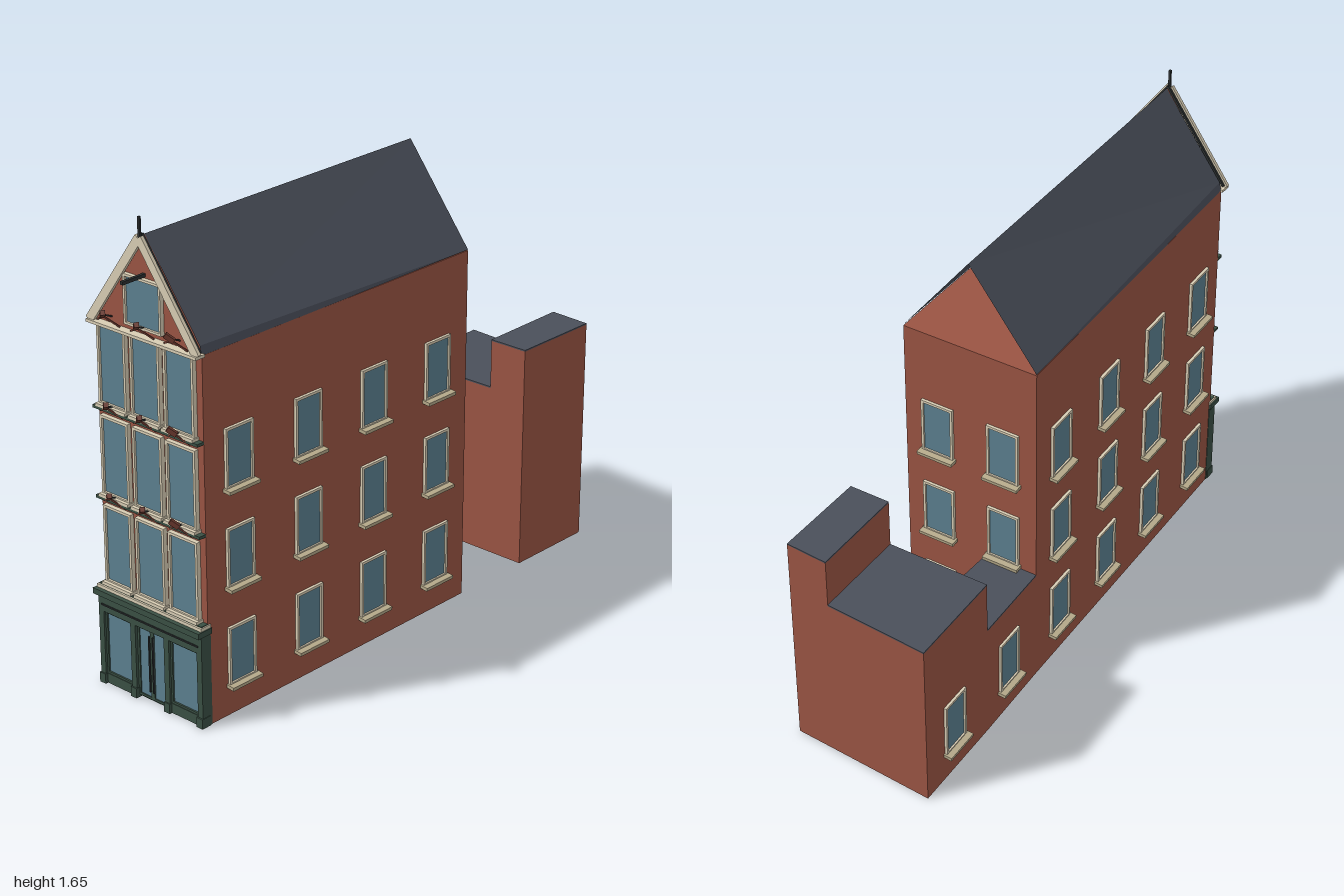
import * as THREE from 'three';

const mat = (color, extra = {}) => new THREE.MeshStandardMaterial({ color, flatShading: true, ...extra });
const M = {
  brick: mat(0x9a5443), slate: mat(0x4a4f5a, { side: THREE.DoubleSide }), glass: mat(0x5b7f8f),
  cream: mat(0xd8cdb4), sill: mat(0xb5a98a), green: mat(0x3a4f44), dark: mat(0x2b2f30), rust: mat(0x6e3b30),
};

function add(parent, name, geo, material) {
  const m = new THREE.Mesh(geo, material);
  m.name = name;
  parent.add(m);
  return m;
}

// Box given by its limits on each axis
function box(parent, name, material, x0, x1, y0, y1, z0, z1) {
  const m = add(parent, name, new THREE.BoxGeometry(x1 - x0, y1 - y0, z1 - z0), material);
  m.position.set((x0 + x1) / 2, (y0 + y1) / 2, (z0 + z1) / 2);
  return m;
}

// Upright prism over a plan outline of [x, z] points
function prism(parent, name, material, plan, y0, y1) {
  const shape = new THREE.Shape(plan.map(([x, z]) => new THREE.Vector2(x, -z)));
  const geo = new THREE.ExtrudeGeometry(shape, { depth: y1 - y0, bevelEnabled: false });
  geo.rotateX(-Math.PI / 2).translate(0, y0, 0);
  return add(parent, name, geo, material);
}

// Square bar between two points
function bar(parent, name, material, a, b, w, d = w) {
  const p = new THREE.Vector3(...a), q = new THREE.Vector3(...b);
  const m = add(parent, name, new THREE.BoxGeometry(w, d, p.distanceTo(q)), material);
  m.position.copy(p).add(q).multiplyScalar(0.5);
  m.lookAt(q);
  return m;
}

// Glass pane with a four-piece frame, facing local +z
function windowUnit(parent, name, x0, x1, y0, y1, z, f = 0.009, depth = 0.01, frame = M.cream) {
  const g = new THREE.Group();
  g.name = name;
  parent.add(g);
  box(g, 'pane', M.glass, x0 + f, x1 - f, y0 + f, y1 - f, z - 0.004, z + 0.004);
  for (const x of [x0, x1 - f]) box(g, 'frameUpright', frame, x, x + f, y0, y1, z - 0.004, z + depth);
  for (const y of [y0, y1 - f]) box(g, 'frameRail', frame, x0 + f, x1 - f, y, y + f, z - 0.004, z + depth);
  return g;
}

// Group whose x runs along a wall from a to b and whose z points outwards
function wall(parent, name, a, b) {
  const g = new THREE.Group();
  g.name = name;
  g.position.set(a[0], 0, a[1]);
  g.rotation.y = Math.atan2(-(b[1] - a[1]), b[0] - a[0]);
  parent.add(g);
  return g;
}

function sideWindow(parent, x, y, w = 0.12) {
  windowUnit(parent, 'sideWindow', x - w / 2, x + w / 2, y, y + 0.205, 0);
  const s = box(parent, 'windowSill', M.sill, x - w / 2 - 0.007, x + w / 2 + 0.007, y - 0.008, y + 0.004, -0.004, 0.03);
  s.rotation.x = 0.1;
}

export function createModel() {
  const root = new THREE.Group();
  root.name = 'townHouse';
  const floors = [0.108, 0.452, 0.79];

  // Main block and rear annex
  const FL = [-0.222, 0.9], FR = [0.235, 0.9], BR = [0.255, -0.32], BL = [-0.245, -0.32];
  prism(root, 'mainBlock', M.brick, [FL, FR, BR, BL], 0, 1.26);
  const annex = [
    ['connector', [BL, [-0.05, -0.32], [-0.035, -0.63], [-0.255, -0.63]], 0.435],
    ['rearBlock', [[-0.255, -0.63], [0.115, -0.63], [0.115, -0.977], [-0.262, -1]], 0.63],
    ['rearTower', [[0.115, -0.63], [0.262, -0.63], [0.268, -0.968], [0.115, -0.977]], 0.807],
  ];
  for (const [name, plan, h] of annex) {
    prism(root, name, M.brick, plan, 0, h);
    prism(root, name + 'Roof', M.slate, plan, h, h + 0.005);
  }

  // Pitched roof, open at the back, with a steeper strip fading out towards the back
  const ridge = [[0.004, 1.59, 0.9], [0.004, 1.59, -0.32]];
  for (const s of [-1, 1]) {
    const [f, b] = s > 0 ? [FR, BR] : [FL, BL];
    const knee = [[f[0] - s * 0.008, 1.29, f[1]], [b[0], 1.263, b[1]]];
    const pts = [...ridge, ...knee, [f[0], 1.258, f[1]]].flat();
    const geo = new THREE.BufferGeometry();
    geo.setAttribute('position', new THREE.Float32BufferAttribute(pts, 3));
    geo.setIndex(s > 0 ? [0, 2, 1, 1, 2, 3, 2, 4, 3] : [0, 1, 2, 1, 3, 2, 2, 3, 4]);
    geo.computeVertexNormals();
    add(root, 'roofSlope', geo.toNonIndexed(), M.slate).geometry.computeVertexNormals();
  }

  // Front gable wall and its sloping edge boards
  const tri = new THREE.Shape([[-0.222, 1.26], [0.235, 1.26], [0.004, 1.588]].map(p => new THREE.Vector2(...p)));
  add(root, 'frontGable', new THREE.ExtrudeGeometry(tri, { depth: 0.02, bevelEnabled: false }), M.brick).position.z = 0.885;
  for (const x of [-0.224, 0.237]) {
    bar(root, 'gableBoard', M.cream, [x, 1.262, 0.922], [0.004, 1.583, 0.922], 0.012, 0.03).up.set(0, 0, 1);
    bar(root, 'gableTrim', M.dark, [x, 1.272, 0.91], [0.004, 1.593, 0.91], 0.008);
  }
  bar(root, 'finial', M.dark, [0.004, 1.57, 0.92], [0.004, 1.65, 0.92], 0.008);
  bar(root, 'hoistBeam', M.dark, [0.004, 1.46, 0.89], [0.004, 1.46, 1], 0.011);
  windowUnit(root, 'atticWindow', -0.077, 0.083, 1.285, 1.45, 0.908, 0.008, 0.012);

  // Side and back walls with their windows
  const right = wall(root, 'rightWindows', FR, BR);
  const left = wall(root, 'leftWindows', BL, FL);
  const back = wall(root, 'backWindows', BR, BL);
  const rows = [0.755, 0.447, 0.14, -0.17];
  floors.forEach((y, i) => {
    for (const z of rows) {
      sideWindow(right, 0.9 - z, y);
      sideWindow(left, z + 0.32, y);
    }
    sideWindow(back, 0.125, y);
    if (i > 0) sideWindow(back, 0.375, y);
  });
  const annexSide = wall(root, 'annexWindows', [-0.262, -1], BL);
  for (const x of [0.165, 0.5]) sideWindow(annexSide, x, floors[0]);

  // Front windows, cornices and lamps
  const bays = [[-0.203, -0.08], [-0.06, 0.067], [0.085, 0.212]];
  [[0.365, 0.637], [0.675, 0.947], [0.985, 1.258]].forEach(([y0, y1]) => {
    for (const [a, b] of bays) {
      windowUnit(root, 'frontWindow', a, b, y0, y1, 0.906, 0.009, 0.012);
      box(root, 'frontSill', M.cream, a - 0.004, b + 0.004, y0 - 0.006, y0 + 0.004, 0.9, 0.93);
    }
    box(root, 'cornice', M.green, -0.222, 0.235, y0 - 0.016, y0 - 0.006, 0.895, 0.928);
  });
  box(root, 'topCornice', M.cream, -0.23, 0.243, 1.256, 1.266, 0.895, 0.935);
  for (const y of [0.69, 1.0, 1.305]) {
    for (const x of [-0.143, 0.004, 0.148]) {
      const lamp = new THREE.Group();
      lamp.name = 'facadeLamp';
      root.add(lamp);
      const lean = x > 0.1 ? -1 : 1;
      bar(lamp, 'lampArm', M.dark, [x, y - 0.02, 0.9], [x, y, 0.945], 0.005);
      bar(lamp, 'lampHead', M.rust, [x - 0.009 * lean, y - 0.008, 0.938], [x + 0.012 * lean, y + 0.012, 0.955], 0.016);
      for (const s of [-1, 1]) bar(lamp, 'lampStay', M.rust, [x + s * 0.05, y - 0.035, 0.92], [x, y - 0.008, 0.94], 0.005);
    }
  }

  // Shopfront
  const shop = new THREE.Group();
  shop.name = 'shopfront';
  root.add(shop);
  box(shop, 'shopBack', M.green, -0.224, 0.237, 0, 0.34, 0.89, 0.912);
  box(shop, 'signBand', M.green, -0.224, 0.237, 0.262, 0.325, 0.9, 0.932);
  box(shop, 'signBoard', M.dark, -0.21, 0.223, 0.285, 0.29, 0.93, 0.936);
  box(shop, 'shopCornice', M.green, -0.23, 0.243, 0.325, 0.345, 0.89, 0.95);
  box(shop, 'shopCorniceTop', M.cream, -0.226, 0.239, 0.345, 0.356, 0.89, 0.935);
  for (const x of [-0.213, -0.07, 0.08, 0.226]) {
    box(shop, 'pilaster', M.green, x - 0.011, x + 0.011, 0, 0.262, 0.9, 0.932);
    box(shop, 'pilasterFoot', M.green, x - 0.013, x + 0.013, 0, 0.035, 0.9, 0.937);
  }
  for (const [a, b] of [[-0.202, -0.081], [0.091, 0.215]]) {
    windowUnit(shop, 'shopWindow', a, b, 0.035, 0.262, 0.914, 0.007, 0.01, M.green);
    box(shop, 'stallRiser', M.green, a, b, 0, 0.035, 0.9, 0.926);
  }
  for (const [a, b] of [[-0.059, 0.005], [0.005, 0.069]])
    windowUnit(shop, 'shopDoor', a, b, 0.01, 0.262, 0.914, 0.008, 0.008, M.green);
  for (const x of [-0.003, 0.013]) bar(shop, 'doorHandle', M.dark, [x, 0.04, 0.926], [x, 0.24, 0.926], 0.005);

  return root;
}
